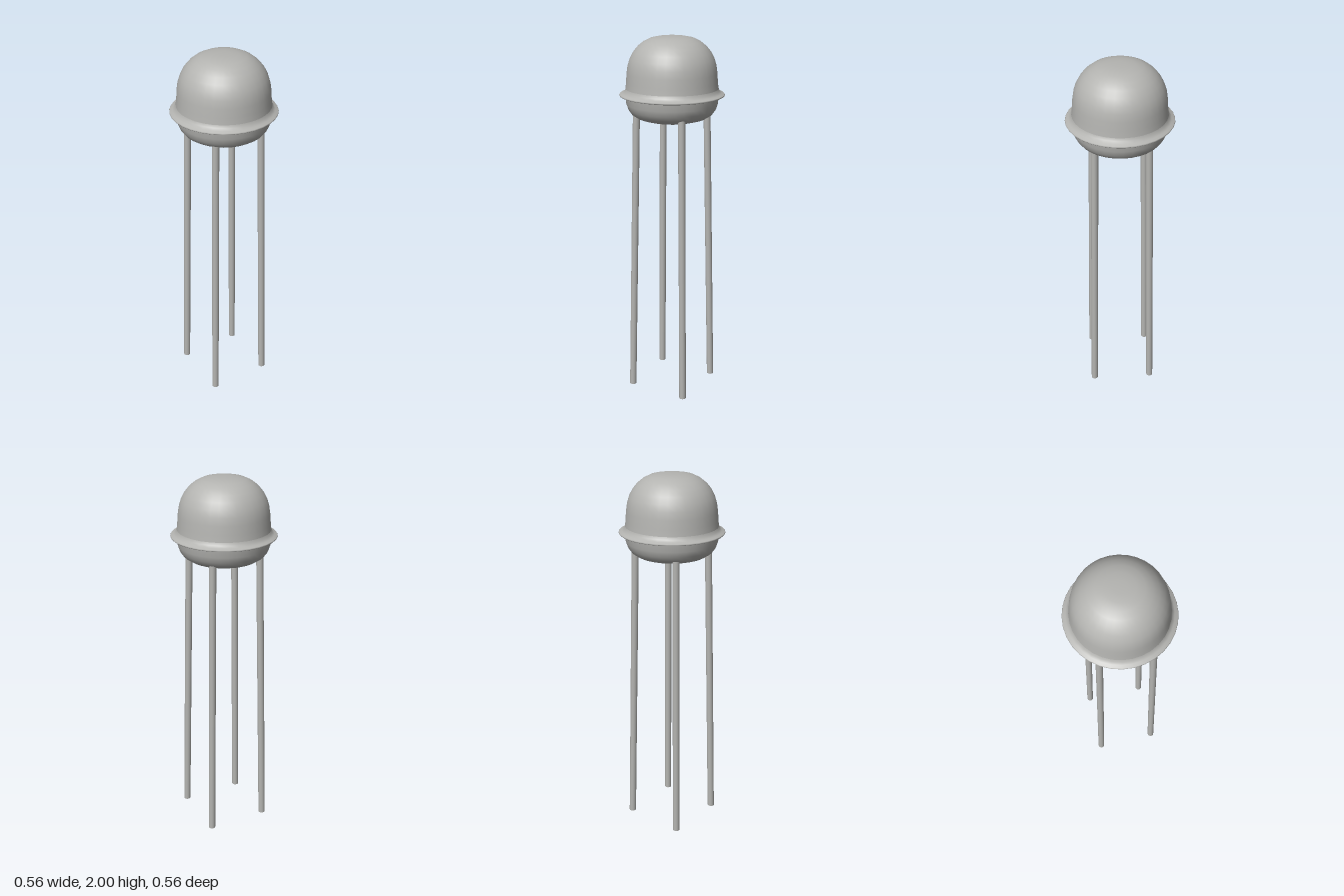
import * as THREE from 'three';

const SIDES = 32;

// Revolved shell; the profile runs upward as [radius, height] pairs.
function shell(name, profile, material) {
  const points = profile.map(([r, y]) => new THREE.Vector2(r, y));
  const mesh = new THREE.Mesh(new THREE.LatheGeometry(points, SIDES), material);
  mesh.name = name;
  return mesh;
}

export function createModel() {
  const model = new THREE.Group();
  model.name = 'waterTower';
  const steel = new THREE.MeshStandardMaterial({ color: 0xb4b4b1 });
  steel.name = 'pale grey steel';

  // Tank: shallow bowl, thin rim and domed cap
  const tank = new THREE.Group();
  tank.name = 'tank';
  tank.add(
    shell('bowl', [
      [0, 1.555], [0.08, 1.557], [0.14, 1.563], [0.185, 1.576], [0.215, 1.595],
      [0.233, 1.62], [0.243, 1.65], [0.248, 1.69],
    ], steel),
    shell('rim', [
      [0.245, 1.686], [0.262, 1.689], [0.277, 1.693], [0.28, 1.697],
      [0.277, 1.701], [0.262, 1.706], [0.251, 1.716], [0.246, 1.73],
    ], steel),
    shell('dome', [
      [0.246, 1.73], [0.242, 1.765], [0.239, 1.81], [0.233, 1.85], [0.222, 1.885],
      [0.204, 1.919], [0.18, 1.948], [0.15, 1.972], [0.115, 1.989],
      [0.075, 1.997], [0.035, 2.0], [0, 2.0],
    ], steel),
  );
  model.add(tank);

  // Four slender legs leaning inward, one on each axis
  const legRadius = 0.019;
  const footOffset = 0.236;
  const topOffset = 0.194;
  const legHeight = 1.62;
  const legGeometry = new THREE.CylinderGeometry(legRadius, legRadius, legHeight, 16);
  const pos = legGeometry.attributes.position;
  for (let i = 0; i < pos.count; i++) {
    // Shear the leg so that its ends stay level
    const t = pos.getY(i) / legHeight + 0.5;
    pos.setX(i, pos.getX(i) + footOffset + (topOffset - footOffset) * t);
    pos.setY(i, t * legHeight);
  }
  ['leftLeg', 'backLeg', 'rightLeg', 'frontLeg'].forEach((name, i) => {
    const leg = new THREE.Mesh(legGeometry, steel);
    leg.name = name;
    leg.rotation.y = (i * Math.PI) / 2;
    model.add(leg);
  });

  return model;
}
